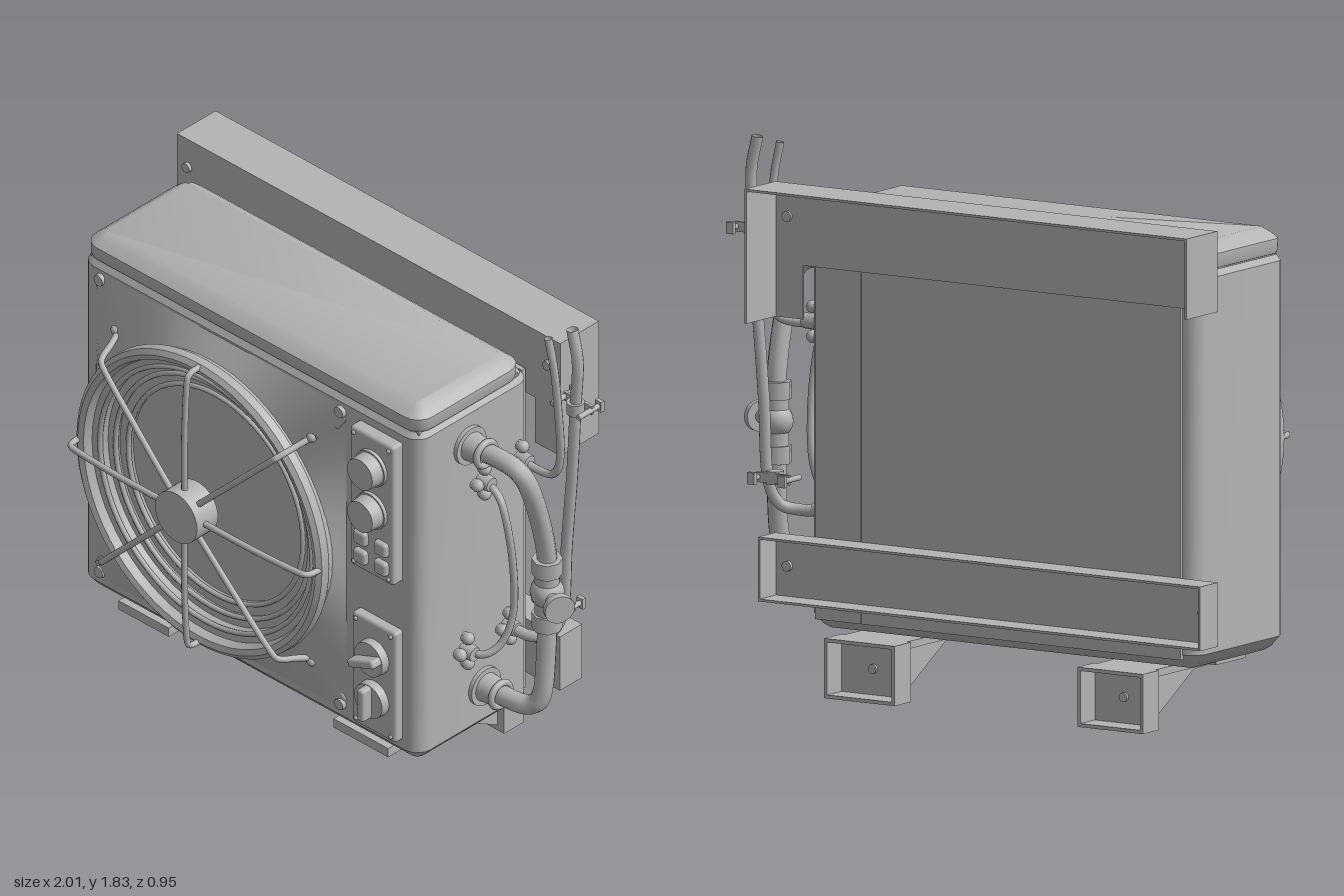
import * as THREE from 'three';
import { toCreasedNormals } from 'three/addons/utils/BufferGeometryUtils.js';
import { RoundedBoxGeometry } from 'three/addons/geometries/RoundedBoxGeometry.js';

const V = (x, y, z) => new THREE.Vector3(x, y, z);

export function createModel() {
  const root = new THREE.Group();
  root.name = 'outdoorFanUnit';
  const grey = new THREE.MeshStandardMaterial({ color: 0xb4b4b4, side: THREE.DoubleSide });
  grey.name = 'grey metal';

  const add = (name, geo, x = 0, y = 0, z = 0, parent = root) => {
    const m = new THREE.Mesh(geo, grey);
    m.name = name;
    m.position.set(x, y, z);
    parent.add(m);
    return m;
  };
  // box given by its limits on each axis
  const box = (name, x0, x1, y0, y1, z0, z1, r = 0) => add(name,
    r ? new RoundedBoxGeometry(x1 - x0, y1 - y0, z1 - z0, 2, r) : new THREE.BoxGeometry(x1 - x0, y1 - y0, z1 - z0),
    (x0 + x1) / 2, (y0 + y1) / 2, (z0 + z1) / 2);
  const tube = (name, pts, r, parent = root, tension = 0.5) => add(name,
    new THREE.TubeGeometry(new THREE.CatmullRomCurve3(pts.map(p => V(...p)), false, 'catmullrom', tension), pts.length * 8, r, 10), 0, 0, 0, parent);
  // cylinder running from a to b
  const rod = (name, a, b, r0, r1 = r0, parent = root, seg = 24) => {
    const A = V(...a), B = V(...b), d = B.clone().sub(A);
    const m = add(name, new THREE.CylinderGeometry(r1, r0, d.length(), seg), 0, 0, 0, parent);
    m.position.copy(A).add(B).multiplyScalar(0.5);
    m.quaternion.setFromUnitVectors(V(0, 1, 0), d.normalize());
    return m;
  };
  const ball = (name, x, y, z, r, parent = root) => add(name, new THREE.SphereGeometry(r, 16, 10), x, y, z, parent);

  // skin joining closed rings of equal point count
  const loft = (rings, caps) => {
    const n = rings[0].length, pos = rings.flat().flatMap(p => [p.x, p.y, p.z]), idx = [];
    for (let i = 0; i < rings.length - 1; i++) for (let j = 0; j < n; j++) {
      const a = i * n + j, b = i * n + (j + 1) % n;
      idx.push(a, b, b + n, a, b + n, a + n);
    }
    if (caps) for (let j = 1; j < n - 1; j++) {
      const t = (rings.length - 1) * n;
      idx.push(0, j + 1, j, t, t + j, t + j + 1);
    }
    const g = new THREE.BufferGeometry();
    g.setAttribute('position', new THREE.Float32BufferAttribute(pos, 3));
    g.setIndex(idx);
    return toCreasedNormals(g, 0.6);
  };
  // rounded rectangle in plan, at height y
  const planRing = (x0, x1, z0, z1, r, y, inset) => {
    const out = [];
    const corners = [[x1 - r, z0 + r, 0], [x0 + r, z0 + r, 1], [x0 + r, z1 - r, 2], [x1 - r, z1 - r, 3]];
    for (const [cx, cz, q] of corners) for (let k = 0; k <= 5; k++) {
      const a = (q + k / 5) * Math.PI / 2;
      out.push(V(cx + Math.cos(a) * (r - inset), y, cz - Math.sin(a) * (r - inset)));
    }
    return out;
  };

  // cabinet and lid
  add('cabinet', loft([[0.205, 0.055], [0.22, 0.03], [0.255, 0], [1.51, 0], [1.53, 0.015]]
    .map(([y, i]) => planRing(-0.905, 0.64, -0.28, 0.26, 0.06, y, i)), true));
  add('lid', loft([[1.535, 0.005], [1.545, 0], [1.585, 0], [1.605, 0.025], [1.622, 0.055]]
    .map(([y, i]) => planRing(-0.9, 0.64, -0.245, 0.255, 0.065, y, i)), true));
  box('lidSeam', -0.88, 0.62, 1.52, 1.54, -0.235, 0.235);
  box('rearPanelWide', -0.85, 0.415, 0.24, 1.52, -0.292, -0.275);
  box('rearPanelNarrow', 0.42, 0.6, 0.24, 1.52, -0.292, -0.275);

  // fan housing: square base drawn into a round shroud
  const fan = new THREE.Group();
  fan.name = 'fan';
  fan.position.set(-0.26, 0.89, 0);
  root.add(fan);
  const square = [], circle = [];
  for (let i = 0; i < 96; i++) {
    const a = i / 96 * Math.PI * 2, c = Math.cos(a), s = Math.sin(a), k = Math.max(Math.abs(c), Math.abs(s));
    square.push(V(c / k * 0.575, s / k * 0.615, 0.258));
    circle.push(V(c * 0.53, s * 0.53, 0.325));
  }
  add('housingFlare', loft([square, circle]), 0, 0, 0, fan);
  const shroud = [[0.535, 0.25], [0.55, 0.31], [0.565, 0.335], [0.562, 0.365], [0.545, 0.378], [0.525, 0.37],
    [0.515, 0.34], [0.49, 0.335], [0.48, 0.3], [0.45, 0.3], [0.44, 0.285], [0.405, 0.285], [0.395, 0.268], [0, 0.268]];
  const shroudGeo = new THREE.LatheGeometry(shroud.map(([r, z]) => new THREE.Vector2(r, z)), 64);
  add('fanShroud', toCreasedNormals(shroudGeo.rotateX(Math.PI / 2), 0.6), 0, 0, 0, fan);
  for (const [r, z] of [[0.485, 0.333], [0.445, 0.3], [0.4, 0.286]])
    add('innerRing', new THREE.TorusGeometry(r, 0.009, 8, 64), 0, 0, z, fan);

  // guard: four short spokes reach the rim, four long ones stand on feet
  rod('guardHub', [0, 0, 0.375], [0, 0, 0.475], 0.096, 0.096, fan, 32);
  for (let i = 0; i < 8; i++) {
    const spoke = new THREE.Group();
    spoke.name = 'guardSpoke';
    spoke.rotation.z = i * Math.PI / 4;
    fan.add(spoke);
    if (i % 2 === 0) {
      tube('rimSpoke', [[0.05, 0, 0.435], [0.3, 0, 0.435], [0.5, 0, 0.425], [0.543, 0, 0.41], [0.55, 0, 0.365]], 0.011, spoke);
    } else {
      tube('footSpoke', [[0.05, 0, 0.435], [0.3, 0, 0.43], [0.53, 0, 0.422], [0.575, 0, 0.405], [0.6, 0, 0.345], [0.625, 0, 0.29]], 0.011, spoke);
      rod('spokeFoot', [0.63, 0, 0.255], [0.63, 0, 0.295], 0.034, 0.028, spoke);
      ball('footBolt', 0.635, 0, 0.295, 0.018, spoke);
      // tapered rib out to the corner screw
      const rib = rod('cornerRib', [0.54, 0, 0.285], [0.8, 0, 0.262], 0.06, 0.012, spoke, 4);
      rib.scale.z = 0.35;
    }
  }
  for (const sx of [-1, 1]) for (const sy of [-1, 1])
    rod('cornerScrew', [sx * 0.55, sy * 0.585, 0.25], [sx * 0.55, sy * 0.585, 0.275], 0.024, 0.02, fan, 16);

  // control panels with corner screws
  for (const [y0, y1, z] of [[0.925, 1.48, 0.305], [0.29, 0.73, 0.295]]) {
    box('controlPanel', 0.37, 0.57, y0, y1, 0.24, z, 0.012);
    for (const x of [0.39, 0.55]) for (const y of [y0 + 0.02, y1 - 0.02]) ball('panelScrew', x, y, z, 0.008);
  }
  for (const y of [1.36, 1.19]) {
    rod('knobCollar', [0.475, y, 0.29], [0.475, y, 0.318], 0.068);
    rod('gaugeKnob', [0.475, y, 0.31], [0.475, y, 0.365], 0.063, 0.058);
  }
  for (const x of [0.428, 0.522]) for (const y of [1.06, 0.985])
    box('pushButton', x - 0.028, x + 0.028, y - 0.027, y + 0.027, 0.29, 0.325, 0.012);
  for (const [y, turn] of [[0.598, -1.2], [0.432, 0]]) {
    rod('dialBase', [0.475, y, 0.28], [0.475, y, 0.325], 0.068, 0.064);
    const grip = add('dialGrip', new RoundedBoxGeometry(0.03, 0.125, 0.05, 2, 0.01), 0.475, y, 0.342);
    grip.rotation.z = turn;
  }

  // upper wall rail: angle section with end plates
  const t = 0.008;
  box('upperRailTop', -1, 0.755, 1.69 - t, 1.69, -0.48, -0.297);
  box('upperRailFace', -1, 0.755, 1.42, 1.69, -0.305, -0.297);
  box('upperRailDrop', 0.64, 0.755, 1.24, 1.43, -0.305, -0.297);
  box('upperRailLeftEnd', 0.755 - t, 0.755, 1.24, 1.69, -0.48, -0.297);
  box('upperRailRightEnd', -1, -1 + t, 1.42, 1.69, -0.48, -0.297);
  // lower wall rail: channel section with end plates
  box('lowerRailFace', -1, 0.755, 0.3, 0.515, -0.303, -0.295);
  for (const y of [0.3, 0.507]) box('lowerRailFlange', -1, 0.755, y, y + t, -0.4, -0.295);
  for (const x of [-1, 0.747]) box('lowerRailEnd', x, x + t, 0.3, 0.515, -0.4, -0.295);
  for (const x of [-0.95, 0.7]) for (const y of [1.58, 0.41])
    rod('railBolt', [x, y, -0.315], [x, y, -0.285], 0.018, 0.018, root, 12);

  // support brackets: shelf, tapering gussets and an open rear box
  const gusset = new THREE.Shape([[-0.2, 0.18], [0.05, 0.165], [0.3, 0.02], [0.3, 0.18]].map(p => new THREE.Vector2(...p)));
  for (const [x0, x1] of [[-0.77, -0.51], [0.215, 0.495]]) {
    box('bracketShelf', x0 + 0.015, x1 - 0.015, 0.175, 0.2, -0.3, 0.235);
    box('bracketLip', x0 + 0.015, x1 - 0.015, 0.165, 0.18, 0.06, 0.235);
    for (const x of [x0 + 0.03, x1 - 0.048]) {
      const g = add('bracketGusset', new THREE.ExtrudeGeometry(gusset, { depth: 0.018, bevelEnabled: false }), x, 0, 0);
      g.rotation.y = Math.PI / 2;
    }
    box('bracketBack', x0, x1, 0.005, 0.2, -0.31, -0.3);
    for (const x of [x0, x1 - 0.012]) box('bracketSide', x, x + 0.012, 0.005, 0.2, -0.395, -0.3);
    for (const y of [0, 0.188]) box('bracketFlange', x0, x1, y, y + 0.012, -0.395, -0.3);
    rod('bracketBolt', [(x0 + x1) / 2, 0.1, -0.32], [(x0 + x1) / 2, 0.1, -0.285], 0.016, 0.016, root, 12);
  }

  // main pipe with wall flanges
  tube('upperPipe', [[0.64, 1.39, 0.02], [0.78, 1.39, 0.01], [0.85, 1.37, 0], [0.878, 1.3, -0.025], [0.88, 1.14, -0.075], [0.878, 1.0, -0.105], [0.878, 0.9, -0.107]], 0.034);
  tube('lowerPipe', [[0.64, 0.39, -0.05], [0.78, 0.39, -0.055], [0.85, 0.405, -0.07], [0.878, 0.46, -0.085], [0.88, 0.6, -0.1], [0.878, 0.74, -0.107], [0.878, 0.85, -0.107]], 0.034);
  for (const [y, z] of [[1.39, 0.02], [0.39, -0.05]]) {
    rod('flangePlate', [0.63, y, z], [0.655, y, z], 0.07);
    rod('flangeCollar', [0.65, y, z], [0.72, y, z], 0.052, 0.046);
    add('flangeBead', new THREE.TorusGeometry(0.044, 0.012, 8, 24).rotateY(Math.PI / 2), 0.72, y, z);
  }
  // shut-off valve
  rod('valveBody', [0.878, 0.73, -0.107], [0.878, 0.98, -0.107], 0.042);
  for (const y of [0.74, 0.955]) {
    rod('valveNut', [0.878, y - 0.03, -0.107], [0.878, y + 0.03, -0.107], 0.052, 0.052, root, 8);
  }
  ball('valveBall', 0.878, 0.852, -0.107, 0.058);
  rod('valveStem', [0.88, 0.852, -0.105], [0.975, 0.852, -0.06], 0.024);
  rod('valveHandle', [0.965, 0.852, -0.067], [0.985, 0.852, -0.057], 0.052);

  // supply hoses
  tube('longHose', [[0.86, 1.825, -0.245], [0.885, 1.7, -0.245], [0.875, 1.52, -0.245], [0.86, 1.25, -0.245], [0.835, 0.95, -0.245],
    [0.825, 0.7, -0.24], [0.8, 0.6, -0.21], [0.74, 0.575, -0.17], [0.63, 0.58, -0.16]], 0.02);
  tube('shortHose', [[0.815, 1.8, -0.178], [0.835, 1.68, -0.185], [0.838, 1.52, -0.2], [0.83, 1.32, -0.22], [0.8, 1.23, -0.22], [0.72, 1.21, -0.22], [0.63, 1.22, -0.22]], 0.014);
  tube('loopHose', [[0.63, 1.22, -0.04], [0.71, 1.2, -0.04], [0.755, 1.13, -0.035], [0.775, 0.95, -0.05], [0.77, 0.75, -0.06], [0.75, 0.63, -0.03], [0.71, 0.58, 0.02], [0.63, 0.58, 0.04]], 0.013);

  // hose unions, each with three knuckles
  for (const [y, z] of [[1.22, -0.04], [1.22, -0.22], [0.58, 0.04], [0.58, -0.16]]) {
    rod('unionNut', [0.63, y, z], [0.69, y, z], 0.03, 0.026, root, 8);
    for (const [dy, dz] of [[0.05, 0.0], [-0.05, 0.0], [0, 0.035]]) {
      rod('unionStud', [0.63, y + dy, z + dz], [0.655, y + dy, z + dz], 0.018, 0.018, root, 12);
      ball('unionKnuckle', 0.658, y + dy, z + dz, 0.022);
    }
  }
  // pipe clips
  for (const [x, y] of [[0.865, 1.52], [0.78, 0.69]]) {
    box('clipBand', x - 0.065, x + 0.065, y - 0.017, y + 0.017, -0.275, -0.265);
    rod('clipRing', [x + 0.01, y - 0.022, -0.245], [x + 0.01, y + 0.022, -0.245], 0.03);
    for (const dx of [-0.06, 0.06]) {
      rod('clipScrew', [x + dx, y, -0.315], [x + dx, y, -0.205], 0.01, 0.01, root, 10);
      box('clipEar', x + dx - 0.014, x + dx + 0.014, y - 0.02, y + 0.02, -0.315, -0.3);
    }
  }
  return root;
}
